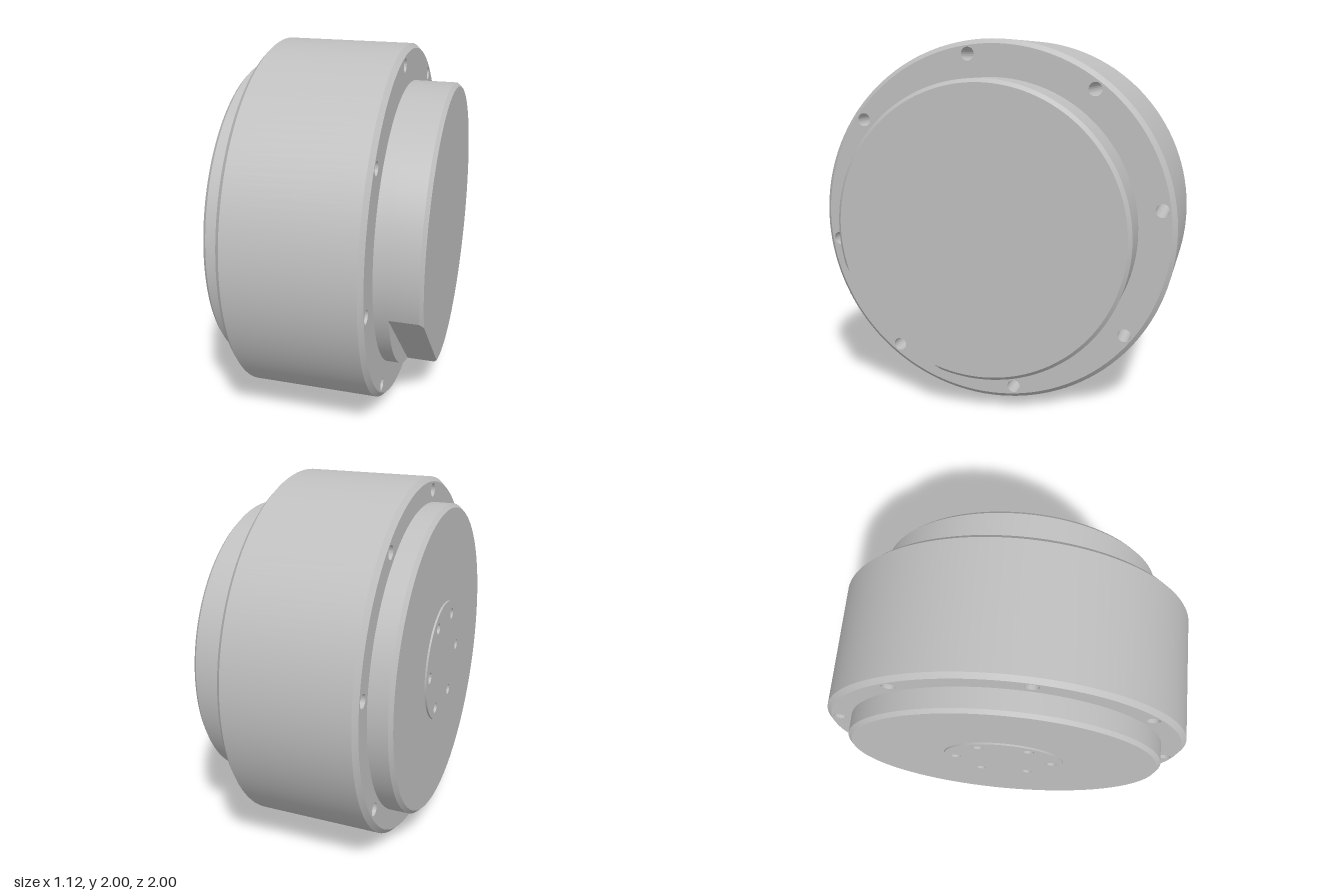
import * as THREE from 'three';
import { toCreasedNormals } from 'three/addons/utils/BufferGeometryUtils.js';

const SEGMENTS = 128;
const CREASE = 0.5;

export function createModel() {
  const model = new THREE.Group();
  model.name = 'flangedHousing';
  const metal = new THREE.MeshStandardMaterial({ color: 0xbfbfbf });
  metal.name = 'grey metal';

  // Everything is built around the x axis, then lifted to y = 1.
  function add(name, geometry) {
    const mesh = new THREE.Mesh(toCreasedNormals(geometry, CREASE), metal);
    mesh.name = name;
    mesh.position.y = 1;
    model.add(mesh);
  }

  // Turned part: profile points are [radius, x], with x rising.
  function turned(name, profile) {
    const points = profile.map(([r, x]) => new THREE.Vector2(r, x));
    add(name, new THREE.LatheGeometry(points, SEGMENTS).rotateZ(-Math.PI / 2));
  }

  // Disc or ring with a circle of holes, running from x0 to x1.
  function drilled(name, outer, inner, x0, x1, count, pitch, radius, startDegrees) {
    const shape = new THREE.Shape().absarc(0, 0, outer, 0, Math.PI * 2, false);
    const hole = (x, y, r) => shape.holes.push(new THREE.Path().absarc(x, y, r, 0, Math.PI * 2, true));
    if (inner) hole(0, 0, inner);
    for (let i = 0; i < count; i++) {
      const a = THREE.MathUtils.degToRad(startDegrees + i * 360 / count);
      hole(-Math.cos(a) * pitch, Math.sin(a) * pitch, radius);
    }
    const geometry = new THREE.ExtrudeGeometry(shape, {
      depth: x1 - x0, bevelEnabled: false, curveSegments: SEGMENTS / 2,
    });
    add(name, geometry.rotateY(Math.PI / 2).translate(x0, 0, 0));
  }

  // Main body: chamfered rim around a ring with eight through holes
  turned('bodyRim', [[0.975, -0.43], [1, -0.405], [1, 0.285], [0.975, 0.31]]);
  drilled('bodyRing', 0.975, 0.79, -0.43, 0.31, 8, 0.93, 0.036, -8);

  // Stepped boss and drilled hub on the -x side
  turned('hubBoss', [[0.33, -0.555], [0.845, -0.555], [0.865, -0.535], [0.865, -0.43]]);
  drilled('hub', 0.335, 0, -0.565, -0.45, 6, 0.27, 0.03, 0);
  turned('hubHoleFloor', [[0, -0.455], [0.33, -0.455]]);

  // Boss on the +x side: full round base, then a section with a flat cut
  turned('bossBase', [[0.8, 0.31], [0.8, 0.385], [0, 0.385]]);
  add('bossWithFlat', flatCutGeometry([[0.8, 0.385], [0.8, 0.54], [0.78, 0.56]], 0.7));

  return model;
}

// Cylinder sections [radius, x] trimmed by a plane facing down and forward.
function flatCutGeometry(sections, planeDistance) {
  const positions = [], index = [], n = SEGMENTS + 1;
  for (const [r, x] of sections) {
    const half = Math.acos(planeDistance / r);
    for (let i = 0; i < n; i++) {
      const a = -Math.PI / 4 + half + (Math.PI * 2 - 2 * half) * i / SEGMENTS;
      positions.push(x, r * Math.sin(a), r * Math.cos(a));
    }
  }
  const last = sections.length - 1;
  const centre = positions.length / 3;
  positions.push(sections[last][1], 0, 0);
  for (let i = 0; i < n; i++) {
    const j = (i + 1) % n;
    for (let s = 0; s < last; s++) {
      const a = s * n, b = a + n;
      index.push(a + i, b + i, a + j, b + i, b + j, a + j);
    }
    index.push(centre, last * n + j, last * n + i);
  }
  const geometry = new THREE.BufferGeometry();
  geometry.setAttribute('position', new THREE.Float32BufferAttribute(positions, 3));
  geometry.setIndex(index);
  return geometry;
}
